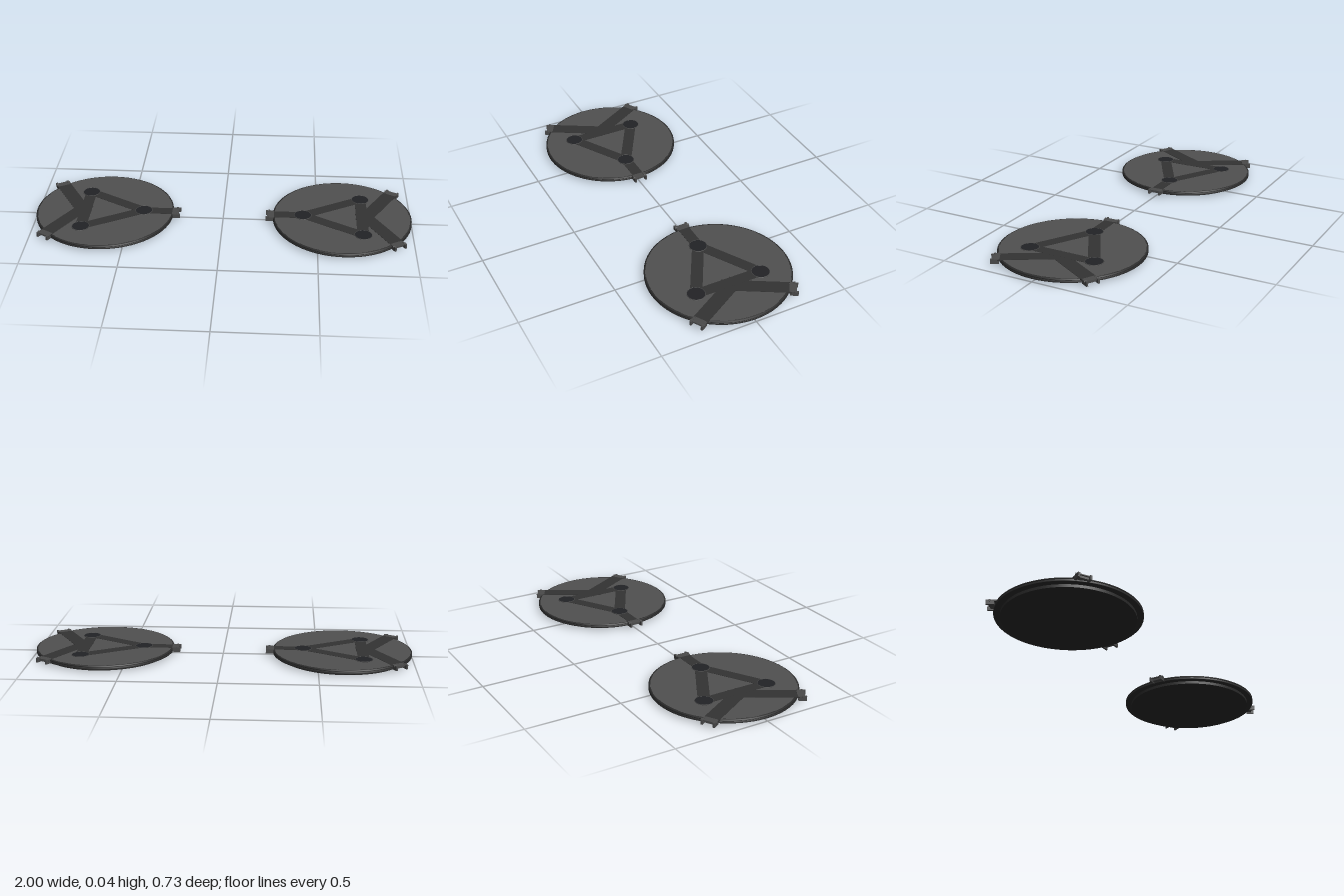
import * as THREE from 'three';

const mat = (color, side = THREE.FrontSide) => new THREE.MeshStandardMaterial({ color, side });
const plateMat = mat(0x505050);
const baseMat = mat(0x2a2a2a);
const barMat = mat(0x333333);
const padMat = mat(0x222326);
const clipMat = mat(0x4a4a4a);

function add(parent, name, geometry, material, x = 0, y = 0, z = 0) {
  const mesh = new THREE.Mesh(geometry, material);
  mesh.name = name;
  mesh.position.set(x, y, z);
  parent.add(mesh);
  return mesh;
}

// Box given by its lower and upper limits on each axis
function block(parent, name, material, [x0, x1], [y0, y1], [z0, z1]) {
  return add(parent, name, new THREE.BoxGeometry(x1 - x0, y1 - y0, z1 - z0), material,
    (x0 + x1) / 2, (y0 + y1) / 2, (z0 + z1) / 2);
}

// Flat strap along local +x, ending in a clip that grips the rim
function strapArm(originX, angle, start, rim, halfWidth) {
  const arm = new THREE.Group();
  arm.name = 'strapArm';
  arm.position.x = originX;
  arm.rotation.y = angle;
  block(arm, 'strap', barMat, [start, rim + 0.004], [0.03, 0.0362], [-halfWidth, halfWidth]);

  const clip = new THREE.Group();
  clip.name = 'rimClip';
  block(clip, 'clipTop', clipMat, [rim - 0.006, rim + 0.03], [0.032, 0.0372], [-0.03, 0.03]);
  block(clip, 'clipBody', clipMat, [rim - 0.004, rim + 0.022], [0.021, 0.033], [-0.028, 0.028]);
  for (const s of [-1, 1]) {
    const cheek = block(clip, 'clipCheek', clipMat, [rim - 0.003, rim + 0.038], [0.015, 0.038], [-0.005, 0.005]);
    cheek.position.z = s * 0.031;
    const knob = add(clip, 'clipPivot', new THREE.CylinderGeometry(0.006, 0.006, 0.014, 12), clipMat,
      rim + 0.02, 0.034, s * 0.033);
    knob.rotation.x = Math.PI / 2;
  }
  arm.add(clip);
  return arm;
}

function disc() {
  const g = new THREE.Group();
  g.name = 'disc';

  // Recessed base and overhanging plate with a bevelled, grooved rim
  add(g, 'base', new THREE.CylinderGeometry(0.335, 0.335, 0.016, 96), baseMat, 0, 0.008, 0);
  const rim = [[0.33, 0.015], [0.366, 0.015], [0.367, 0.016], [0.367, 0.024], [0.364, 0.0245],
    [0.364, 0.026], [0.367, 0.0265], [0.367, 0.032], [0.362, 0.035], [0.358, 0.035]];
  const rimGeometry = new THREE.LatheGeometry(rim.map(([x, y]) => new THREE.Vector2(x, y)), 96);
  add(g, 'rim', rimGeometry, mat(0x2c2c2c, THREE.DoubleSide));
  add(g, 'topPlate', new THREE.CylinderGeometry(0.36, 0.36, 0.018, 96), plateMat, 0, 0.026, 0);

  // Triangle of bars with a round pad at each corner
  const r = 0.208;
  for (let i = 0; i < 3; i++) {
    const corner = new THREE.Group();
    corner.name = 'triangleSide';
    corner.rotation.y = i * Math.PI * 2 / 3;
    block(corner, 'bar', barMat, [-r / 2 - 0.03, -r / 2 + 0.03], [0.03, 0.0364], [-0.18, 0.18]);
    add(corner, 'pad', new THREE.CylinderGeometry(0.045, 0.045, 0.009, 40), padMat, r, 0.0328, 0);
    const edge = add(corner, 'padEdge', new THREE.TorusGeometry(0.045, 0.002, 6, 40), clipMat, r, 0.036, 0);
    edge.rotation.x = Math.PI / 2;
    g.add(corner);
  }

  // One straight arm and two slanted ones crossing behind the triangle
  g.add(strapArm(0, 0, 0.21, 0.367, 0.03));
  for (const s of [-1, 1]) g.add(strapArm(-0.127, s * Math.PI * 2 / 3, -0.05, 0.287, 0.038));
  return g;
}

export function createModel() {
  const model = new THREE.Group();
  model.name = 'discPair';
  for (const s of [-1, 1]) {
    const d = disc();
    d.name = s > 0 ? 'leftDisc' : 'rightDisc';
    d.position.x = s * 0.633;
    if (s > 0) d.rotation.y = Math.PI;
    model.add(d);
  }
  return model;
}
